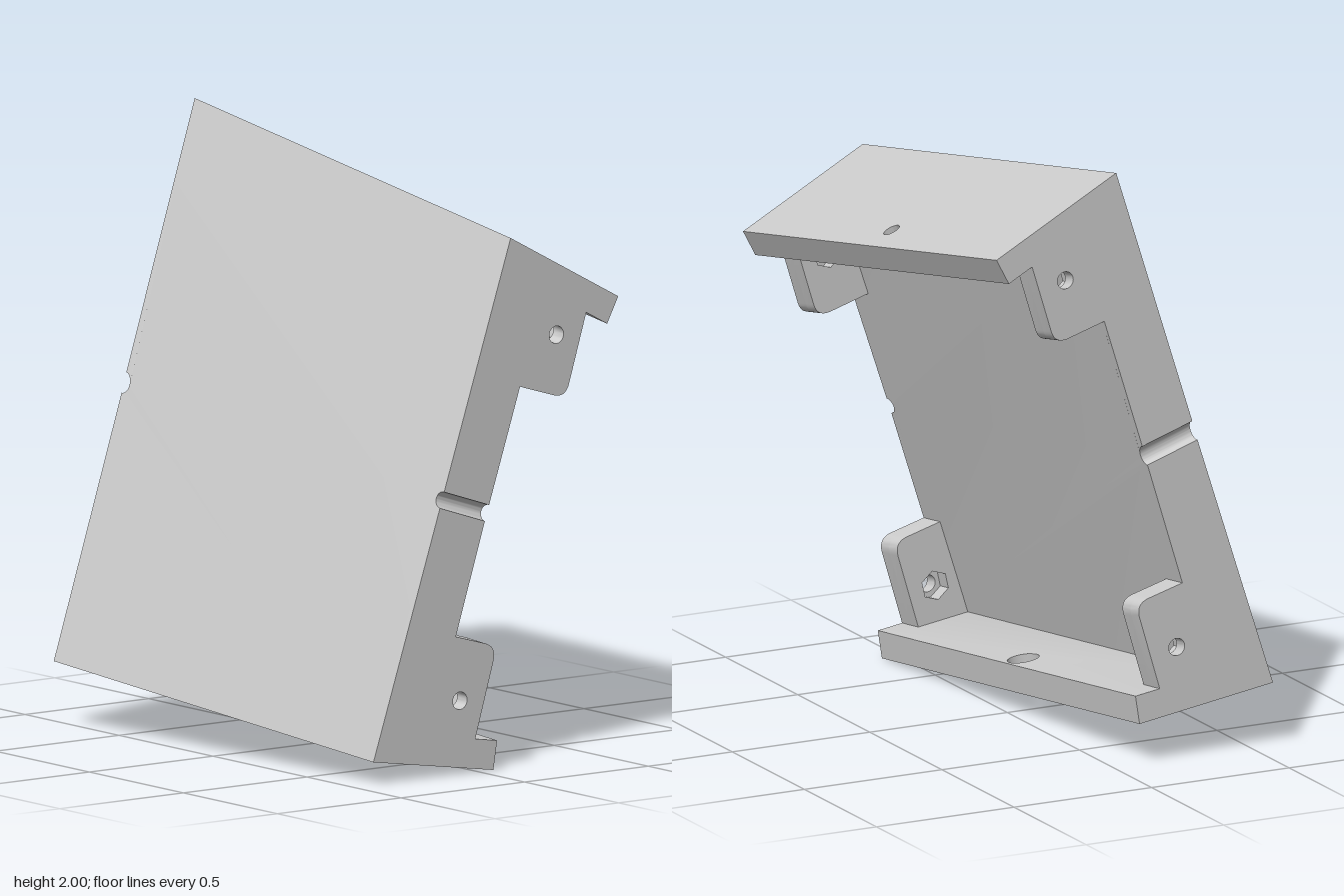
import * as THREE from 'three';
import { toCreasedNormals } from 'three/addons/utils/BufferGeometryUtils.js';

const END = 0.755; // half length along z
const TAB = 0.095; // tab depth
const V = (x, y) => new THREE.Vector2(x, y);

// Section corners at the front end, from the upper lip round to the lower lip
const outer = [V(0.565, 1.5), V(0.13, 1.735), V(-0.425, 0.08), V(0.06, 0.005)];
const inner = [V(0.52, 1.415), V(0.27, 1.55), V(-0.193, 0.141), V(0.075, 0.1)];

// Slant the section towards the back; the top end climbs more than the bottom
function slant(geo) {
  const p = geo.attributes.position;
  for (let i = 0; i < p.count; i++) {
    const x = p.getX(i), y = p.getY(i), z = p.getZ(i);
    const s = (END - z) / (2 * END);
    const v = THREE.MathUtils.clamp((0.318 * x + 0.948 * y - 0.6) / 0.5, 0, 1);
    p.setXY(i, x + s * (-0.145 + 0.015 * v), y + s * (0.14 + 0.125 * v));
  }
  return toCreasedNormals(geo, 0.6);
}

function circle(x, y, r) {
  return new THREE.Path().absarc(x, y, r, 0, Math.PI * 2, true);
}

function hexagon(x, y, r) {
  const pts = [];
  for (let i = 0; i < 6; i++) {
    const a = (i * Math.PI) / 3 + 0.3;
    pts.push(V(x + r * Math.cos(a), y + r * Math.sin(a)));
  }
  return new THREE.Path(pts);
}

// One layer of a wall: drawn in (z, w), extruded inwards, with mitred ends.
// t0 and t1 are fractions of the wall thickness.
function wallLayer(i, t0, t1, makeShape) {
  const A = outer[i], B = outer[i + 1], D = inner[i], C = inner[i + 1];
  const dir = B.clone().sub(A), length = dir.length();
  dir.normalize();
  const normal = V(-dir.y, dir.x);
  const thick = D.clone().sub(A).dot(normal);
  const geo = new THREE.ExtrudeGeometry(makeShape(length), { depth: 1, bevelEnabled: false, curveSegments: 12 });
  const p = geo.attributes.position;
  for (let k = 0; k < p.count; k++) {
    const z = p.getX(k), w = p.getY(k);
    const t = t0 + (t1 - t0) * p.getZ(k);
    let q;
    if (w < 1e-4) q = A.clone().lerp(D, t);
    else if (w > length - 1e-4) q = B.clone().lerp(C, t);
    else q = A.clone().addScaledVector(dir, w).addScaledVector(normal, t * thick);
    p.setXYZ(k, q.x, q.y, z);
  }
  return slant(geo);
}

// Rectangle with one bore
function boredShape(w, r) {
  return (length) => {
    const s = new THREE.Shape([V(-END, 0), V(END, 0), V(END, length), V(-END, length)]);
    s.holes.push(circle(0, w, r));
    return s;
  };
}

// Rectangle with a half-round groove in each end
function groovedShape(length) {
  const m = length / 2, r = 0.027;
  const s = new THREE.Shape();
  s.moveTo(-END, 0);
  s.lineTo(END, 0);
  s.lineTo(END, m - r);
  s.absarc(END, m, r, -Math.PI / 2, Math.PI / 2, true);
  s.lineTo(END, length);
  s.lineTo(-END, length);
  s.lineTo(-END, m + r);
  s.absarc(-END, m, r, Math.PI / 2, -Math.PI / 2, true);
  s.closePath();
  return s;
}

// Rounded ear outlines, sunk slightly into plate and flange
function upperTab() {
  const s = new THREE.Shape();
  s.moveTo(0.16, 1.248);
  s.lineTo(0.3, 1.205);
  s.quadraticCurveTo(0.351, 1.188, 0.366, 1.235);
  s.lineTo(0.437, 1.465);
  s.lineTo(0.27, 1.56);
  s.closePath();
  return s;
}

function lowerTab() {
  const s = new THREE.Shape();
  s.moveTo(-0.1, 0.458);
  s.lineTo(-0.2, 0.135);
  s.lineTo(-0.015, 0.108);
  s.lineTo(0.06, 0.36);
  s.quadraticCurveTo(0.074, 0.409, 0.025, 0.422);
  s.closePath();
  return s;
}

export function createModel() {
  const model = new THREE.Group();
  const material = new THREE.MeshStandardMaterial({ color: 0xcccccc });
  const add = (parent, name, geo) => {
    const mesh = new THREE.Mesh(geo, material);
    mesh.name = name;
    parent.add(mesh);
  };
  const group = (name) => {
    const g = new THREE.Group();
    g.name = name;
    model.add(g);
    return g;
  };

  // Main plate
  add(model, 'plate', wallLayer(1, 0, 1, groovedShape));

  // Flanges with a stepped screw hole: narrow outside, wide inside
  for (const [name, index, w] of [['upperFlange', 0, 0.09], ['lowerFlange', 2, 0.43]]) {
    const flange = group(name);
    add(flange, name + 'Outer', wallLayer(index, 0, 0.5, boredShape(w, 0.027)));
    add(flange, name + 'Inner', wallLayer(index, 0.5, 1, boredShape(w, 0.05)));
  }

  // Corner tabs: round hole on the end face, hexagonal nut pocket inside
  const tabs = [['upper', upperTab, 0.315, 1.4], ['lower', lowerTab, -0.075, 0.245]];
  for (const [level, outline, hx, hy] of tabs) {
    for (const [end, side] of [['Front', 1], ['Back', -1]]) {
      const tab = group(level + end + 'Tab');
      for (const [layer, hole, offset] of [
        ['Face', circle(hx, hy, 0.029), 0],
        ['Pocket', hexagon(hx, hy, 0.05), TAB / 2],
      ]) {
        const shape = outline();
        shape.holes.push(hole);
        const geo = new THREE.ExtrudeGeometry(shape, { depth: TAB / 2, bevelEnabled: false, curveSegments: 10 });
        geo.translate(0, 0, side > 0 ? END - offset - TAB / 2 : -END + offset);
        add(tab, level + end + layer, slant(geo));
      }
    }
  }
  return model;
}
